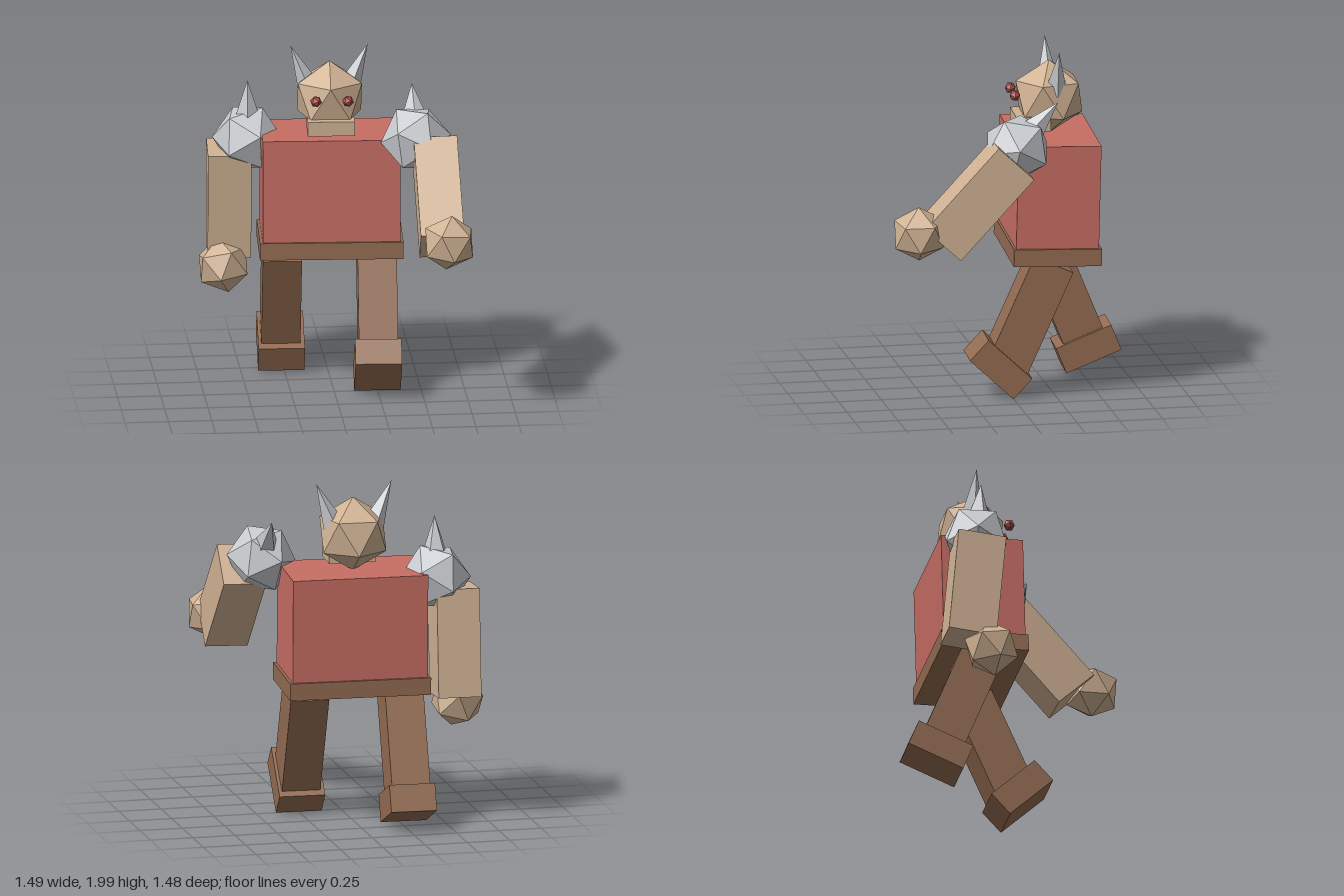
import * as THREE from 'three';

const YAW = -0.05; // slight turn shared by the whole body

export function createModel() {
  const model = new THREE.Group();
  model.name = 'walkingBrute';

  const material = (name, color) => {
    const m = new THREE.MeshStandardMaterial({ color, flatShading: true });
    m.name = name;
    return m;
  };
  const skin = material('tan skin', 0xd0b294);
  const shirt = material('red shirt', 0xc76e64);
  const leather = material('brown leather', 0x946c52);
  const steel = material('grey steel', 0xc9ccd0);
  const eyeRed = material('eye red', 0xae4f49);

  const add = (parent, name, geometry, mat, position, rotation = [0, 0, 0]) => {
    const mesh = new THREE.Mesh(geometry, mat);
    mesh.name = name;
    mesh.position.set(...position);
    mesh.rotation.set(...rotation, 'YXZ');
    parent.add(mesh);
    return mesh;
  };
  const box = (...size) => new THREE.BoxGeometry(...size);
  const ball = (radius) => new THREE.IcosahedronGeometry(radius, 0);

  // Torso and belt lean back slightly
  add(model, 'torso', box(0.79, 0.61, 0.48), shirt, [0, 1.187, -0.28], [-0.025, YAW, 0]);
  add(model, 'belt', box(0.825, 0.1, 0.51), leather, [0, 0.838, -0.272], [-0.025, YAW, 0]);

  // Legs in mid-stride
  const leg = (side, x, legYZ, legPitch, footX, footYZ, footPitch) => {
    add(model, side + 'Leg', box(0.225, 0.645, 0.246), leather, [x, ...legYZ], [legPitch, YAW, 0]);
    add(model, side + 'Foot', box(0.267, 0.16, 0.345), leather, [footX, ...footYZ], [footPitch, YAW, 0]);
  };
  leg('left', 0.257, [0.495, -0.109], -0.42, 0.245, [0.183, 0.068], -0.75);
  leg('right', -0.272, [0.49, -0.406], 0.385, -0.262, [0.153, -0.543], 0.385);

  // Arms swing about their spiked shoulder guards
  const arm = (side, sx, y, z, pitch, roll, fistTurn) => {
    const group = new THREE.Group();
    group.name = side + 'Arm';
    group.position.set(sx * 0.47, y, z);
    group.rotation.set(pitch, YAW, roll, 'YXZ');
    add(group, side + 'ShoulderGuard', ball(0.203), steel, [0, 0, 0], [0.2, 0.45, 0.15]);
    add(group, side + 'ShoulderSpike', new THREE.ConeGeometry(0.115, 0.34, 5), steel, [0, 0.185, 0]);
    add(group, side + 'Forearm', box(0.25, 0.63, 0.28), skin, [sx * 0.105, -0.375, 0]);
    add(group, side + 'Fist', ball(0.162), skin, [sx * 0.14, -0.735, 0.13], fistTurn);
    model.add(group);
  };
  arm('left', 1, 1.515, 0, -0.75, 0.04, [1.81, 0, -0.25]);
  arm('right', -1, 1.435, -0.365, 0.09, 0, [1.81, 0.2, -0.25]);

  // Head stands on one corner of its icosahedron, another corner to the front
  const skull = ball(0.216);
  skull.rotateZ(Math.atan(2 / (1 + Math.sqrt(5))));
  skull.rotateY(Math.PI / 2);
  add(model, 'head', skull, skin, [-0.003, 1.695, -0.278], [0, YAW, 0]);
  add(model, 'jaw', box(0.27, 0.085, 0.2), skin, [-0.006, 1.562, -0.172], [0, YAW, 0]);

  for (const [side, s] of [['left', 1], ['right', -1]]) {
    add(model, side + 'Eye', ball(0.034), eyeRed, [s * 0.092 - 0.007, 1.73, -0.067 + s * 0.004], [0.3, 0.4, 0]);
    add(model, side + 'Horn', new THREE.ConeGeometry(0.065, 0.27, 4), steel,
      [s * 0.17 - 0.004, 1.877, -0.296], [0, 0, -s * 0.4]);
  }
  return model;
}
